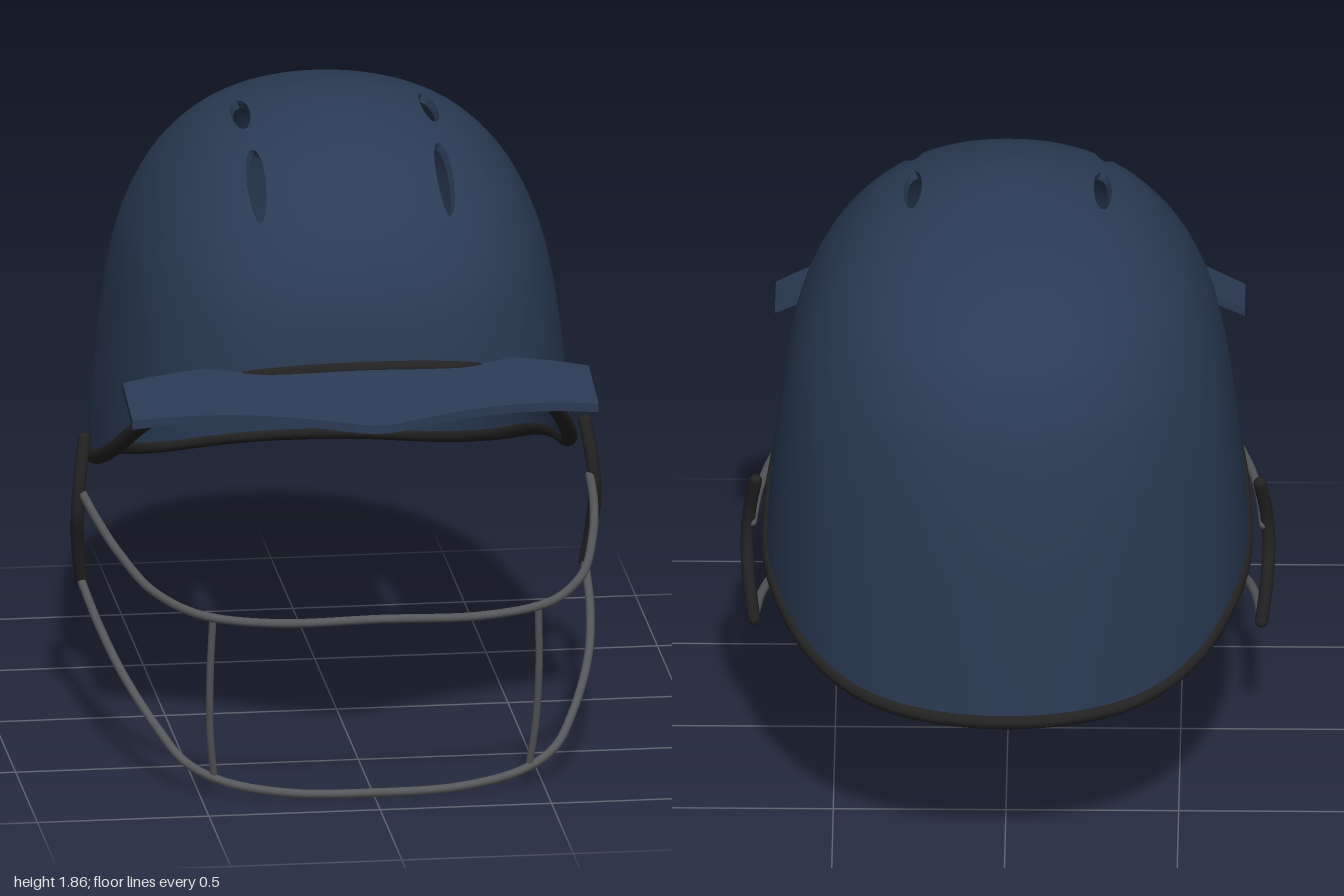
import * as THREE from 'three';

const mat = (color, side = THREE.FrontSide) => new THREE.MeshStandardMaterial({ color, side });
const navy = mat(0x2b3b55), navyThin = mat(0x2b3b55, THREE.DoubleSide);
const rubber = mat(0x222222), steel = mat(0x55585a);

// Smooth interpolation through rows [key, value, value...] with rising keys
function interp(rows, k) {
  const last = rows.length - 1;
  let i = 0;
  while (i < last - 1 && k > rows[i + 1][0]) i++;
  const h = rows[i + 1][0] - rows[i][0];
  const t = THREE.MathUtils.clamp((k - rows[i][0]) / h, 0, 1);
  const slope = (n, c) => {
    const a = rows[Math.max(n - 1, 0)], b = rows[Math.min(n + 1, last)];
    return (b[c] - a[c]) / (b[0] - a[0]);
  };
  return rows[i].slice(1).map((v, n) => {
    const c = n + 1, w = rows[i + 1][c], t2 = t * t, t3 = t2 * t;
    return v * (2 * t3 - 3 * t2 + 1) + w * (3 * t2 - 2 * t3)
      + h * (slope(i, c) * (t3 - 2 * t2 + t) + slope(i + 1, c) * (t3 - t2));
  });
}

// Shell extents by depth below the crown: [y, front z, back z, half width]
const TOP = 1.86;
const sections = [
  [1.86, -0.05, -0.05, 0], [1.83, 0.15, -0.32, 0.2], [1.75, 0.35, -0.6, 0.38],
  [1.62, 0.5, -0.8, 0.51], [1.48, 0.595, -0.885, 0.585], [1.35, 0.635, -0.92, 0.625],
  [1.1, 0.655, -0.95, 0.665], [0.8, 0.66, -0.967, 0.693], [0.5, 0.66, -0.978, 0.705],
].map(([y, ...r]) => [Math.sqrt(TOP - y), ...r]);

// Height of the lower edge by z
const rim = [
  [-0.98, 0.545], [-0.85, 0.56], [-0.7, 0.605], [-0.5, 0.68], [-0.35, 0.715], [-0.15, 0.75],
  [0, 0.8], [0.15, 0.875], [0.3, 0.98], [0.45, 1.09], [0.57, 1.18], [0.66, 1.23],
];

// Point of the shell at angle a (0 = front) and root depth q
function shellPoint(a, q) {
  const [zf, zb, w] = interp(sections, q);
  const k = Math.min(1, q / 0.8), zc = -0.05 - 0.15 * k;
  const c = Math.cos(a), s = Math.sin(a);
  const e = 2 / (c > 0 ? 2 + 0.6 * k : 2 + 0.1 * k);
  const reach = c > 0 ? zf - zc : zc - zb;
  return new THREE.Vector3(
    w * Math.sign(s) * Math.abs(s) ** e, TOP - q * q,
    zc + reach * Math.sign(c) * Math.abs(c) ** e);
}

function shellNormal(a, q) {
  if (q < 0.01) return new THREE.Vector3(0, 1, 0);
  const d = 0.006;
  const da = shellPoint(a + d, q).sub(shellPoint(a - d, q));
  const dq = shellPoint(a, q + d).sub(shellPoint(a, q - d));
  return dq.cross(da).normalize();
}

const rimDepth = a => Math.sqrt(TOP - interp(rim, shellPoint(a, 1).z)[0]);

// Four long vent slots, as ellipses in plan
const vents = [-1, 1].flatMap(s => [-0.05, 0.315].map(z => ({ x: s * 0.275, z, rx: 0.026, rz: 0.122 })));
const ventDist = (v, p) => Math.hypot((p.x - v.x) / v.rx, (p.z - v.z) / v.rz);

function geometry(pos, index, normal) {
  const g = new THREE.BufferGeometry();
  g.setAttribute('position', new THREE.Float32BufferAttribute(pos, 3));
  if (normal) g.setAttribute('normal', new THREE.Float32BufferAttribute(normal, 3));
  g.setIndex(index);
  if (!normal) g.computeVertexNormals();
  return g;
}

function makeShell() {
  const rows = 90, cols = 240, thick = 0.025;
  const pts = [], nrm = [], id = (i, j) => i * cols + (j + cols) % cols;
  for (let i = 0; i <= rows; i++) for (let j = 0; j < cols; j++) {
    const a = j / cols * Math.PI * 2, q = rimDepth(a) * i / rows;
    pts.push(shellPoint(a, q));
    nrm.push(shellNormal(a, q));
  }
  // Cells whose middle lies in a vent are left open
  const cell = [];
  for (let i = 0; i < rows; i++) for (let j = 0; j < cols; j++) {
    const mid = pts[id(i, j)].clone().add(pts[id(i + 1, j + 1)]).multiplyScalar(0.5);
    cell.push(vents.find(v => ventDist(v, mid) < 1));
  }
  // Edges between open and solid cells: snap to the ellipse and give them a wall
  const edges = [], snap = new Map();
  cell.forEach((v, n) => {
    if (!v) return;
    const i = Math.floor(n / cols), j = n % cols;
    const sides = [[-1, 0, id(i, j), id(i, j + 1)], [1, 0, id(i + 1, j), id(i + 1, j + 1)],
      [0, -1, id(i, j), id(i + 1, j)], [0, 1, id(i, j + 1), id(i + 1, j + 1)]];
    for (const [di, dj, p, r] of sides) if (!cell[id(i + di, j + dj)]) {
      edges.push([p, r]);
      snap.set(p, v).set(r, v);
    }
  });
  snap.forEach((v, n) => {
    const p = pts[n], d = ventDist(v, p), m = nrm[n];
    const dx = (p.x - v.x) * (1 / d - 1), dz = (p.z - v.z) * (1 / d - 1);
    p.add(new THREE.Vector3(dx, -(m.x * dx + m.z * dz) / m.y, dz));
  });
  const inner = pts.map((p, n) => p.clone().addScaledVector(nrm[n], -thick));
  const out = [], back = [];
  cell.forEach((v, n) => {
    if (v) return;
    const i = Math.floor(n / cols), j = n % cols;
    const a = id(i, j), b = id(i + 1, j), c = id(i + 1, j + 1), d = id(i, j + 1);
    out.push(a, b, c, a, c, d);
    back.push(a, c, b, a, d, c);
  });
  const flat = list => list.flatMap(p => p.toArray());
  const wallPos = [], wallIndex = [];
  edges.forEach(([p, r], n) => {
    wallPos.push(...flat([pts[p], pts[r], inner[r], inner[p]]));
    wallIndex.push(...[0, 1, 2, 0, 2, 3].map(k => k + n * 4));
  });
  const group = new THREE.Group();
  group.name = 'shell';
  group.add(
    named('outerShell', geometry(flat(pts), out, flat(nrm)), navy),
    named('innerShell', geometry(flat(inner), back, flat(nrm.map(n => n.clone().negate()))), navy),
    named('ventWalls', geometry(wallPos, wallIndex), navyThin));
  return group;
}

function named(name, geo, material) {
  const m = new THREE.Mesh(geo, material);
  m.name = name;
  return m;
}

// Round bar through points, with rounded ends
function bar(name, points, radius, material) {
  const group = new THREE.Group();
  group.name = name;
  const path = new THREE.CatmullRomCurve3(points.map(p => new THREE.Vector3(...p)));
  group.add(named(name + 'Tube', new THREE.TubeGeometry(path, points.length * 10, radius, 10), material));
  for (const t of [0, 1]) {
    const end = named(name + 'End', new THREE.SphereGeometry(radius, 10, 8), material);
    end.position.copy(path.getPoint(t));
    group.add(end);
  }
  return group;
}

// Peaked brim: a slab bent into an arch
function makeBrim() {
  const g = new THREE.BoxGeometry(1.36, 0.026, 1, 48, 1, 10), p = g.attributes.position;
  for (let i = 0; i < p.count; i++) {
    const x = p.getX(i), front = 1.03 - 0.53 * Math.sqrt(x * x + 0.0049), rear = 0.65 - 0.31 * Math.abs(x);
    const z = THREE.MathUtils.lerp(rear, front, p.getZ(i) + 0.5);
    p.setXYZ(i, x, 1.215 - 0.2 * (z - 0.67) - 0.27 * x * x + p.getY(i), z);
  }
  g.computeVertexNormals();
  return named('brim', g, navy);
}

export function createModel() {
  const model = new THREE.Group();
  model.name = 'helmet';
  model.add(makeShell(), makeBrim());

  // Rubber trim along the lower edge
  const edge = Array.from({ length: 96 }, (_, i) => {
    const a = i / 96 * Math.PI * 2, q = rimDepth(a);
    return shellPoint(a, q).addScaledVector(shellNormal(a, q), -0.008);
  });
  model.add(named('edgeTrim',
    new THREE.TubeGeometry(new THREE.CatmullRomCurve3(edge, true), 240, 0.023, 10, true), rubber));

  // Face guard: each cross bar runs from the left end, mirrored past the middle
  const mirror = pts => pts.map(([x, y, z]) => [-x, y, z]);
  const across = half => [...half, ...mirror(half.slice(0, -1)).reverse()];
  const upper = [[0.74, 0.68, -0.01], [0.725, 0.665, 0.2], [0.69, 0.635, 0.45], [0.62, 0.597, 0.72],
    [0.5, 0.575, 0.89], [0.3, 0.567, 0.965], [0, 0.572, 0.978]];
  const lower = [[0.735, 0.395, -0.08], [0.715, 0.335, 0.2], [0.675, 0.26, 0.45], [0.605, 0.165, 0.65],
    [0.54, 0.095, 0.755], [0.44, 0.05, 0.815], [0.25, 0.02, 0.86], [0, 0.015, 0.873]];
  const upright = [[0.475, 0.57, 0.895], [0.48, 0.38, 0.87], [0.475, 0.2, 0.835], [0.46, 0.058, 0.8]];
  const post = [[0.73, 0.835, -0.045], [0.748, 0.72, -0.01], [0.755, 0.62, -0.008], [0.75, 0.52, -0.045],
    [0.735, 0.4, -0.08]];
  const guard = new THREE.Group();
  guard.name = 'faceGuard';
  guard.add(bar('upperBar', across(upper), 0.013, steel), bar('lowerBar', across(lower), 0.013, steel));
  for (const [side, place] of [['left', p => p], ['right', mirror]]) {
    guard.add(bar(side + 'Upright', place(upright), 0.011, steel));
    guard.add(bar(side + 'Post', place(post), 0.019, rubber));
  }
  model.add(guard);
  return model;
}
